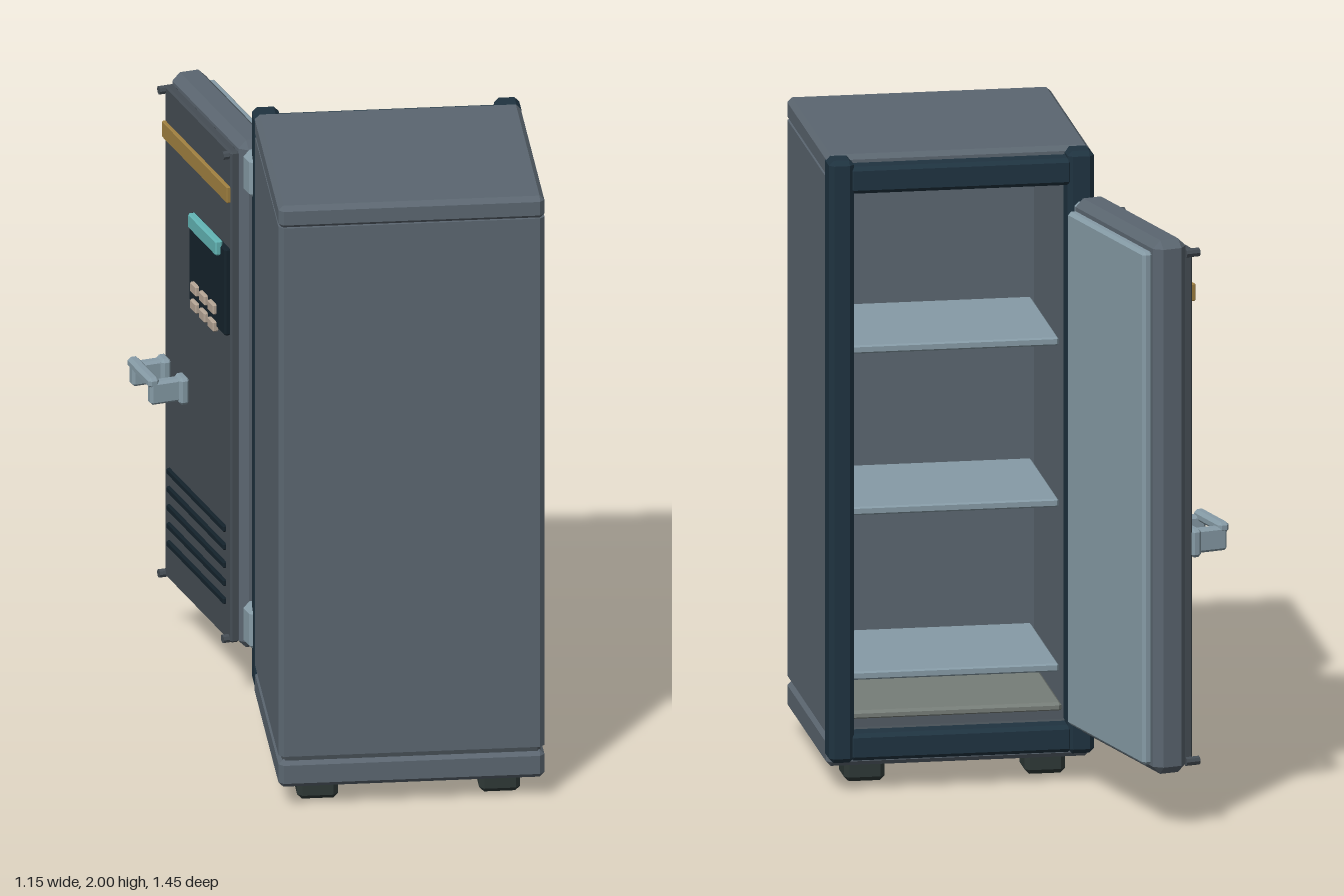
import * as THREE from 'three';
import { ConvexGeometry } from 'three/addons/geometries/ConvexGeometry.js';

const mat = (color) => new THREE.MeshStandardMaterial({ color, flatShading: true, side: THREE.DoubleSide });
const steel = mat(0x5b6670), dark = mat(0x1f3340), black = mat(0x14222b), rubber = mat(0x2e3836);
const pale = mat(0x869ba6), gold = mat(0xa08040), cyan = mat(0x62b4b4), beige = mat(0xb5a595);
const plate = mat(0x454d54), tray = mat(0x767d78);

// Box with chamfered edges, given by its limits on each axis
function block(parent, name, material, [x0, x1], [y0, y1], [z0, z1], c = 0.01) {
  const half = [(x1 - x0) / 2, (y1 - y0) / 2, (z1 - z0) / 2];
  c = Math.min(c, ...half.map((h) => h * 0.6));
  const points = [];
  for (const sx of [-1, 1]) for (const sy of [-1, 1]) for (const sz of [-1, 1]) {
    for (let full = 0; full < 3; full++) {
      const p = half.map((h, i) => (i === full ? h : h - c));
      points.push(new THREE.Vector3(p[0] * sx, p[1] * sy, p[2] * sz));
    }
  }
  const mesh = new THREE.Mesh(new ConvexGeometry(points), material);
  mesh.position.set((x0 + x1) / 2, (y0 + y1) / 2, (z0 + z1) / 2);
  mesh.name = name;
  parent.add(mesh);
  return mesh;
}

const L = -0.245, R = 0.573, F = 0.72, B = -0.03;

function cabinet() {
  const g = new THREE.Group();
  g.name = 'cabinet';

  // U-shaped shell, open at the door side
  const c = 0.015, w = 0.06;
  const outline = [
    [L, B], [L, F - c], [L + c, F], [R - c, F], [R, F - c], [R, B],
    [R - w, B], [R - w, F - w], [L + w, F - w], [L + w, B],
  ];
  const shape = new THREE.Shape(outline.map(([x, z]) => new THREE.Vector2(x, -z)));
  const geo = new THREE.ExtrudeGeometry(shape, { depth: 1.755, bevelEnabled: false });
  geo.rotateX(-Math.PI / 2);
  const shell = new THREE.Mesh(geo, steel);
  shell.position.y = 0.175;
  shell.name = 'shell';
  g.add(shell);

  block(g, 'topCap', steel, [L, R], [1.925, 2], [B, F], 0.015);
  block(g, 'base', steel, [L, R], [0.07, 0.16], [B, F], 0.015);
  block(g, 'baseSeam', plate, [L + 0.012, R - 0.012], [0.14, 0.19], [B, F - 0.012]);
  block(g, 'floorTray', tray, [L + w + 0.01, R - w - 0.01], [0.185, 0.215], [0.08, 0.64]);

  // Door frame
  block(g, 'framePost', dark, [L - 0.002, -0.165], [0.095, 1.997], [-0.095, 0.01], 0.015);
  block(g, 'framePost', dark, [0.497, R + 0.002], [0.095, 1.997], [-0.095, 0.01], 0.015);
  block(g, 'frameLintel', dark, [-0.18, 0.51], [1.89, 1.975], [-0.09, 0], 0.012);
  block(g, 'frameSill', dark, [-0.18, 0.51], [0.1, 0.185], [-0.09, 0], 0.012);

  // Shelves
  for (const y of [0.31, 0.83, 1.34]) {
    block(g, 'shelf', pale, [L + w + 0.01, R - w - 0.02], [y - 0.013, y + 0.013], [0.14, 0.655], 0.005);
  }

  // Feet
  for (const x of [-0.118, 0.442]) for (const z of [0.107, 0.591]) {
    block(g, 'foot', rubber, [x - 0.063, x + 0.063], [0, 0.08], [z - 0.063, z + 0.063], 0.015);
  }

  // Fixed hinge leaves
  for (const y of [0.205, 1.705]) {
    block(g, 'hingeLeaf', pale, [-0.25, -0.185], [y, y + 0.135], [-0.12, -0.08], 0.012);
  }
  return g;
}

// Door in its closed orientation: x along the width, -z outward, then swung open
function door() {
  const g = new THREE.Group();
  g.name = 'door';
  const part = (name, m, x, y, [n0, n1], c) => block(g, name, m, x, y, [-n1, -n0], c);

  part('doorSlab', steel, [0.175, 0.795], [0.18, 1.865], [0.13, 0.24], 0.025);
  part('doorLiner', pale, [0.2, 0.765], [0.21, 1.83], [0.1, 0.135], 0.01);
  part('outerPanel', plate, [0.2, 0.77], [0.2, 1.83], [0.235, 0.265], 0.006);
  part('trimStrip', gold, [0.205, 0.767], [1.66, 1.715], [0.26, 0.276], 0.003);

  // Control panel with display and buttons
  part('controlPanel', black, [0.205, 0.515], [1.22, 1.51], [0.26, 0.283], 0.006);
  part('display', cyan, [0.24, 0.48], [1.475, 1.525], [0.275, 0.3], 0.005);
  for (const y of [1.225, 1.282]) for (const x of [0.3, 0.375, 0.45]) {
    part('button', beige, [x - 0.025, x + 0.025], [y - 0.017, y + 0.017], [0.275, 0.295], 0.004);
  }

  // Vent slats
  for (let i = 0; i < 5; i++) {
    const y = 0.325 + i * 0.06;
    part('ventSlat', black, [0.24, 0.73], [y - 0.011, y + 0.011], [0.26, 0.275], 0.004);
  }

  // Handle: two mounts, two arms and a grip bar
  for (const x of [0.588, 0.745]) {
    part('handleMount', pale, [x - 0.03, x + 0.03], [0.85, 0.94], [0.26, 0.295], 0.01);
    part('handleArm', pale, [x - 0.018, x + 0.018], [0.86, 0.935], [0.285, 0.385], 0.008);
  }
  part('handleGrip', pale, [0.57, 0.765], [0.915, 0.95], [0.355, 0.392], 0.01);

  // Corner bolts
  for (const x of [0.22, 0.77]) for (const y of [0.21, 1.815]) {
    const bolt = new THREE.Mesh(new THREE.CylinderGeometry(0.014, 0.014, 0.045, 8), plate);
    bolt.rotation.x = Math.PI / 2;
    bolt.position.set(x, y, -0.262);
    bolt.name = 'bolt';
    g.add(bolt);
  }

  // Swinging hinge arms
  for (const y of [0.2, 1.7]) {
    part('hingeArm', pale, [0.1, 0.19], [y, y + 0.145], [0.155, 0.235], 0.02);
  }
  g.rotation.y = THREE.MathUtils.degToRad(105);
  return g;
}

export function createModel() {
  const model = new THREE.Group();
  model.name = 'refrigerator';
  model.add(cabinet(), door());
  return model;
}
